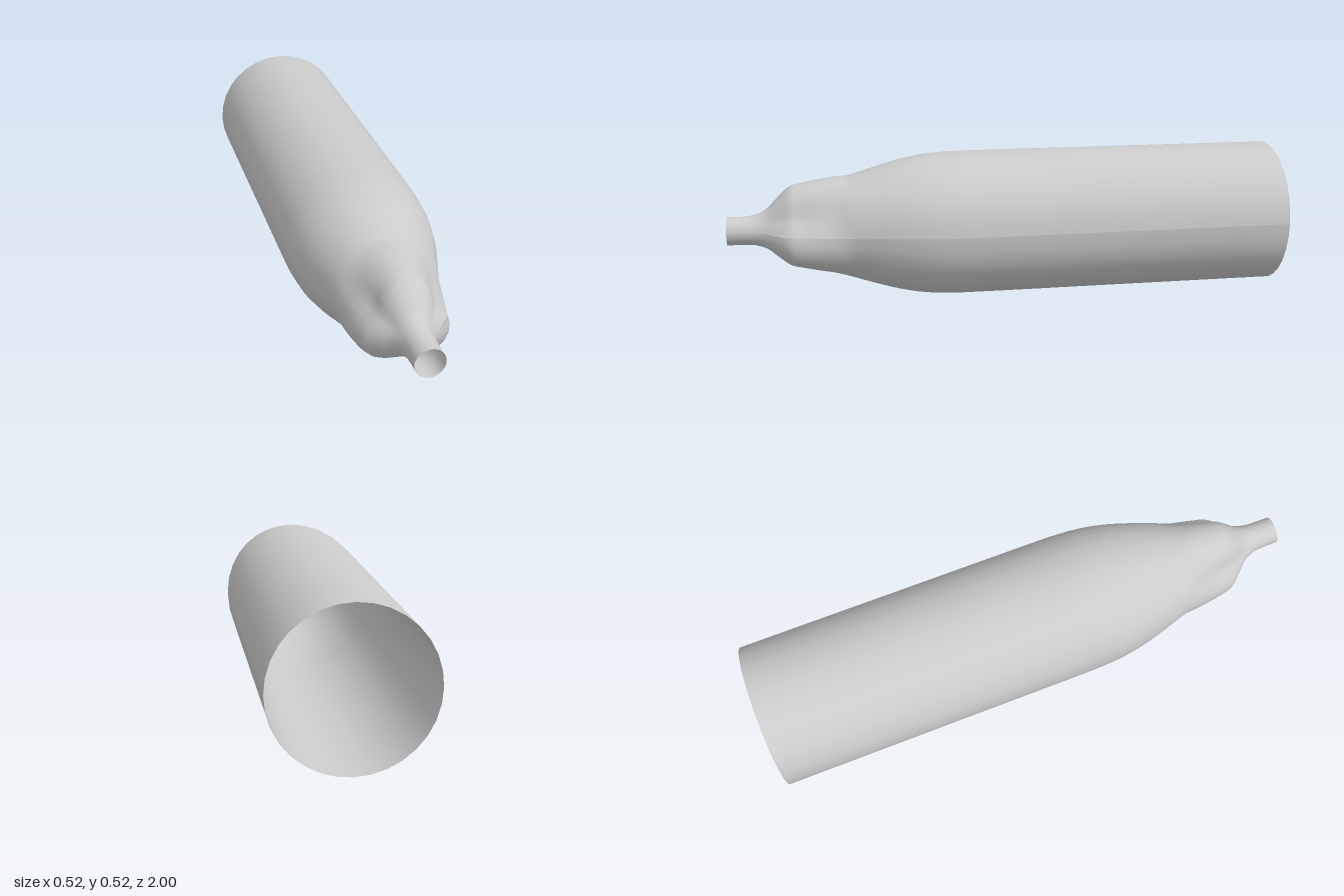
import * as THREE from 'three';

const AXIS_Y = 0.262;
const SIDES = 32;

// Stations along the axis: z, valley radius, extra radius on the three lobes
const STATIONS = [
  [1, 0.05, 0], [0.95, 0.05, 0], [0.9, 0.053, 0.003], [0.86, 0.064, 0.012],
  [0.82, 0.083, 0.034], [0.78, 0.103, 0.05], [0.74, 0.113, 0.052], [0.7, 0.127, 0.045],
  [0.65, 0.144, 0.035], [0.61, 0.16, 0.023], [0.57, 0.179, 0.006], [0.5, 0.203, 0.002],
  [0.4, 0.233, 0], [0.3, 0.252, 0], [0.2, 0.259, 0], [0.1, 0.26, 0], [-0.3, 0.26, 0], [-1, 0.26, 0],
];

function createShell() {
  const rail = new THREE.CatmullRomCurve3(STATIONS.map((s) => new THREE.Vector3(...s)), false, 'centripetal');
  const rows = 68;
  const rings = rail.getPoints(rows);
  const geometry = new THREE.PlaneGeometry(1, 1, SIDES, rows);
  const pos = geometry.attributes.position;

  // Wrap the grid round the z axis, swelling it into three lobes near the nozzle
  rings.forEach(({ x: z, y: valley, z: lobe }, row) => {
    // The two ends of each ring part slightly along the left side, leaving a slit
    const slit = 0.002 * THREE.MathUtils.smoothstep(z, 0.5, 0.68) * (1 - THREE.MathUtils.smoothstep(z, 0.8, 0.88));
    for (let i = 0; i <= SIDES; i++) {
      const angle = (i / SIDES) * Math.PI * 2;
      const swell = Math.pow(Math.max(0, (1 + Math.cos(3 * (angle - Math.PI / 2))) / 2), 0.75);
      const r = valley + lobe * swell;
      const gap = i === 0 ? slit : i === SIDES ? -slit : 0;
      pos.setXYZ(row * (SIDES + 1) + i, r * Math.cos(angle), AXIS_Y + r * Math.sin(angle) + gap, z);
    }
  });
  geometry.computeVertexNormals();
  return geometry;
}

export function createModel() {
  const group = new THREE.Group();
  group.name = 'taperedTube';
  const material = new THREE.MeshStandardMaterial({ color: 0xcccccc, side: THREE.DoubleSide });

  // Open-ended barrel, shoulder and nozzle in one thin shell
  const shell = new THREE.Mesh(createShell(), material);
  shell.name = 'tubeShell';
  group.add(shell);
  return group;
}
